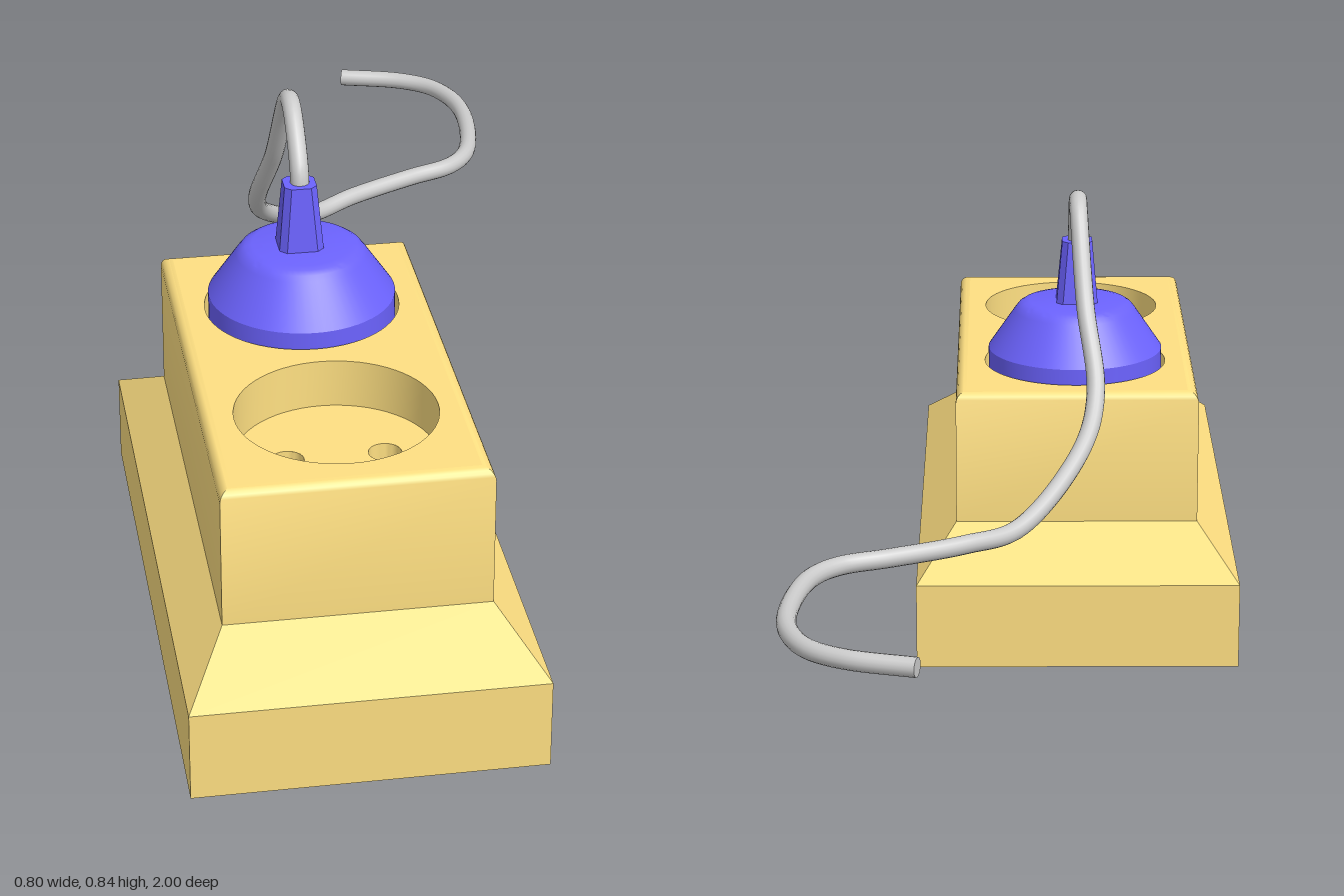
import * as THREE from 'three';
import { toCreasedNormals } from 'three/addons/utils/BufferGeometryUtils.js';

const CX = -0.105, CZ = 0.447;          // block centre
const TOP = 0.483, FLOOR = 0.397;       // block top and socket floor
const SOCKET_R = 0.17, SOCKETS_Z = [0.25, 0.635];
const PIN_R = 0.028, PIN_X = 0.082;

const yellow = new THREE.MeshStandardMaterial({ color: 0xffe082, side: THREE.DoubleSide });
const blue = new THREE.MeshStandardMaterial({ color: 0x6c63ff });
const grey = new THREE.MeshStandardMaterial({ color: 0xcccccc });

// Chamfered rectangle ring at height y, counterclockwise from above
function ring(y, hx, hz, c = 0) {
  if (!c) return [[hx, y, hz], [hx, y, -hz], [-hx, y, -hz], [-hx, y, hz]];
  return [
    [hx, y, hz - c], [hx, y, c - hz], [hx - c, y, -hz], [c - hx, y, -hz],
    [-hx, y, c - hz], [-hx, y, hz - c], [c - hx, y, hz], [hx - c, y, hz],
  ];
}

// Skin over rings from bottom to top, with a bottom cap and optional top cap
function loft(rings, capTop) {
  const n = rings[0].length, index = [];
  for (let r = 0; r < rings.length - 1; r++) {
    for (let i = 0; i < n; i++) {
      const a = r * n + i, b = r * n + (i + 1) % n;
      index.push(a, b, b + n, a, b + n, a + n);
    }
  }
  const last = (rings.length - 1) * n;
  for (let i = 1; i < n - 1; i++) {
    index.push(0, i + 1, i);
    if (capTop) index.push(last, last + i, last + i + 1);
  }
  const geo = new THREE.BufferGeometry();
  geo.setAttribute('position', new THREE.Float32BufferAttribute(rings.flat(2), 3));
  geo.setIndex(index);
  return toCreasedNormals(geo, 0.5);
}

// Horizontal face with round holes; holes are [x, z, radius]
function plate(shape, holes) {
  for (const [x, z, r] of holes) {
    shape.holes.push(new THREE.Path().absarc(x, -z, r, 0, Math.PI * 2, true));
  }
  return new THREE.ShapeGeometry(shape, 32).rotateX(-Math.PI / 2);
}

function lathe(points, segments = 64) {
  const pts = points.map(([x, y]) => new THREE.Vector2(x, y));
  return toCreasedNormals(new THREE.LatheGeometry(pts, segments), 0.45);
}

export function createModel() {
  const model = new THREE.Group();
  const add = (name, geo, mat, x = 0, y = 0, z = 0, parent = model) => {
    const mesh = new THREE.Mesh(geo, mat);
    mesh.name = name;
    mesh.position.set(x, y, z);
    parent.add(mesh);
    return mesh;
  };

  // Block: plinth, sloped shoulder, upper box with rounded top edge
  const hx = 0.223, hz = 0.417, round = 0.02;
  const rings = [ring(0, 0.295, 0.553), ring(0.158, 0.295, 0.553), ring(0.235, hx, hz)];
  for (let i = 0; i <= 5; i++) {
    const a = (i / 5) * Math.PI / 2, inset = round * (1 - Math.cos(a));
    rings.push(ring(TOP - round + round * Math.sin(a), hx - inset, hz - inset));
  }
  add('blockBody', loft(rings, false), yellow, CX, 0, CZ);

  // Top face with two socket openings
  const tx = hx - round, tz = hz - round;
  const rect = new THREE.Shape([[-tx, -tz], [tx, -tz], [tx, tz], [-tx, tz]].map(p => new THREE.Vector2(...p)));
  add('blockTop', plate(rect, SOCKETS_Z.map(z => [0, z - CZ, SOCKET_R])), yellow, CX, TOP, CZ);

  // Sockets: round wall, floor and two pin holes
  for (const z of SOCKETS_Z) {
    const socket = new THREE.Group();
    socket.name = 'socket';
    socket.position.set(CX, 0, z);
    model.add(socket);
    add('socketWall', lathe([[SOCKET_R, FLOOR], [SOCKET_R, TOP]]), yellow, 0, 0, 0, socket);
    const disc = new THREE.Shape().absarc(0, 0, SOCKET_R, 0, Math.PI * 2);
    add('socketFloor', plate(disc, [-PIN_X, PIN_X].map(x => [x, 0, PIN_R])), yellow, 0, FLOOR, 0, socket);
    for (const x of [-PIN_X, PIN_X]) {
      add('pinHole', lathe([[0, -0.1], [PIN_R, -0.1], [PIN_R, 0]], 32), yellow, x, FLOOR, 0, socket);
    }
  }

  // Plug in the rear socket
  add('plugBody', lathe([
    [0, FLOOR + 0.002], [0.163, FLOOR + 0.002], [0.163, 0.51], [0.114, 0.582],
    [0.107, 0.591], [0.098, 0.597], [0.086, 0.6], [0, 0.6],
  ]), blue, CX, 0, SOCKETS_Z[0]);
  add('plugGrip', loft([ring(0.595, 0.039, 0.037, 0.012), ring(0.717, 0.028, 0.028, 0.011)], true),
    blue, CX - 0.003, 0, SOCKETS_Z[0]);

  // Cable: arches up from the plug, falls behind the block and curls away
  const path = new THREE.CatmullRomCurve3([
    [-0.107, 0.7, 0.252], [-0.107, 0.735, 0.245], [-0.107, 0.785, 0.205], [-0.107, 0.818, 0.155],
    [-0.107, 0.812, 0.11], [-0.118, 0.655, 0.005], [-0.135, 0.525, -0.095], [-0.11, 0.45, -0.185],
    [0.005, 0.355, -0.35], [0.095, 0.351, -0.42], [0.225, 0.351, -0.488], [0.305, 0.351, -0.524],
    [0.35, 0.351, -0.58], [0.38, 0.351, -0.73], [0.374, 0.351, -0.83], [0.34, 0.351, -0.905],
    [0.28, 0.351, -0.949], [0.165, 0.351, -0.985],
  ].map(p => new THREE.Vector3(...p)));
  const cable = new THREE.Group();
  cable.name = 'cable';
  model.add(cable);
  add('cableTube', new THREE.TubeGeometry(path, 120, 0.0165, 16), grey, 0, 0, 0, cable);
  const end = add('cableEnd', new THREE.CircleGeometry(0.0165, 16), grey, 0, 0, 0, cable);
  end.position.copy(path.getPoint(1));
  end.quaternion.setFromUnitVectors(new THREE.Vector3(0, 0, 1), path.getTangent(1));

  return model;
}
